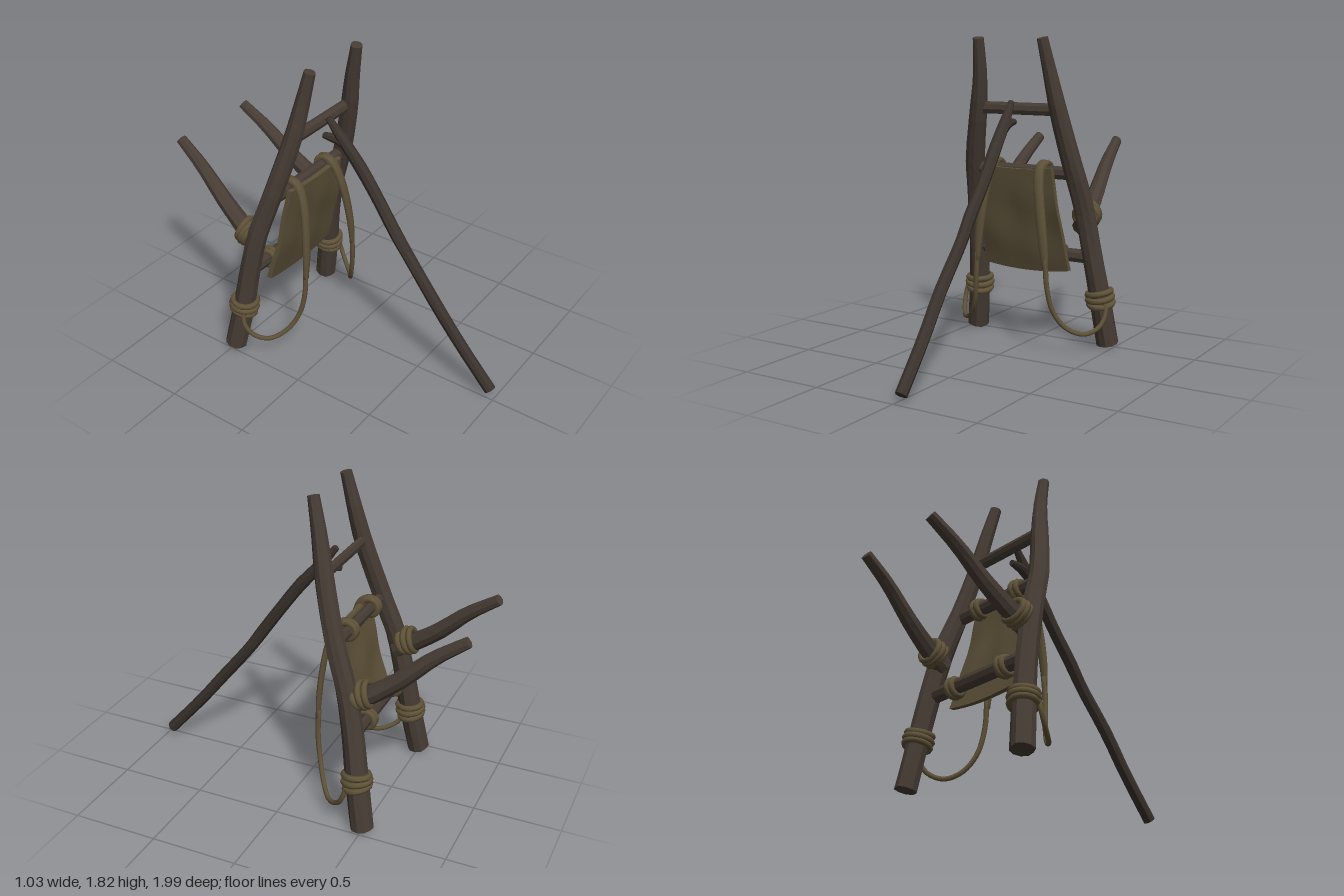
import * as THREE from 'three';

const mat = (color, flat) => {
  const m = new THREE.MeshStandardMaterial({ flatShading: flat });
  m.color.set(color);
  return m;
};
const V = (p) => new THREE.Vector3(...p);

// Capped limb swept along a curve; radii are spread evenly over the points.
// widths: radius along the starting x axis; flat: thickness as a share of width.
function sweep(points, radii, { sides = 9, steps = 14, flat = 1, rough = 0 } = {}) {
  const curve = new THREE.CatmullRomCurve3(points.map(V));
  const pos = [], idx = [];
  const n = new THREE.Vector3(1, 0.01, 0.02), b = new THREE.Vector3();
  const put = (v) => pos.push(v.x, v.y, v.z);
  for (let i = 0; i <= steps; i++) {
    const u = i / steps, c = curve.getPoint(u), t = curve.getTangent(u);
    n.addScaledVector(t, -n.dot(t)).normalize();
    b.crossVectors(t, n);
    const f = u * (radii.length - 1), k = Math.min(Math.floor(f), radii.length - 2);
    const r = THREE.MathUtils.lerp(radii[k], radii[k + 1], f - k);
    for (let j = 0; j < sides; j++) {
      const a = (j / sides) * Math.PI * 2;
      const w = r * (1 + rough * Math.sin(j * 2.4 + i * 0.5));
      put(c.clone().addScaledVector(n, Math.cos(a) * w).addScaledVector(b, Math.sin(a) * w * flat));
    }
  }
  for (let i = 0; i < steps; i++) {
    for (let j = 0; j < sides; j++) {
      const p = i * sides + j, q = i * sides + ((j + 1) % sides);
      idx.push(p, q, p + sides, q, q + sides, p + sides);
    }
  }
  // End caps
  const start = pos.length / 3;
  put(curve.getPoint(0));
  put(curve.getPoint(1));
  const last = steps * sides;
  for (let j = 0; j < sides; j++) {
    const k = (j + 1) % sides;
    idx.push(start, k, j, start + 1, last + j, last + k);
  }
  const g = new THREE.BufferGeometry();
  g.setAttribute('position', new THREE.Float32BufferAttribute(pos, 3));
  g.setIndex(idx);
  g.computeVertexNormals();
  return g;
}

export function createModel() {
  const group = new THREE.Group();
  const wood = mat(0x463c34, true), darkWood = mat(0x3a322c, true);
  const rope = mat(0x5f5238, false), cloth = mat(0x5c5038, false);
  const add = (name, geo, material, parent = group) => {
    const m = new THREE.Mesh(geo, material);
    m.name = name;
    parent.add(m);
    return m;
  };

  // Stacked, slightly tilted rope rings round an axis
  const lashing = (name, centre, axis, radius, count, gap, tube = 0.018) => {
    const g = new THREE.Group();
    g.name = name;
    g.position.copy(V(centre));
    g.quaternion.setFromUnitVectors(new THREE.Vector3(0, 0, 1), V(axis).normalize());
    for (let i = 0; i < count; i++) {
      const ring = add('ropeRing', new THREE.TorusGeometry(radius * (1 + 0.05 * (i % 2)), tube, 7, 18), rope, g);
      ring.position.z = (i - (count - 1) / 2) * gap;
      ring.rotation.set(0.09 * Math.sin(i * 2.1 + 1), 0.1 * Math.cos(i * 1.7), 0);
    }
    group.add(g);
  };

  // Leaning side poles, each a little different
  const poleRadii = [0.063, 0.063, 0.061, 0.06, 0.058, 0.055, 0.05, 0.042, 0.033];
  const poleY = [0.015, 0.3, 0.55, 0.8, 0.95, 1.1, 1.4, 1.6, 1.81];
  const poleZ = [-0.5, -0.452, -0.412, -0.36, -0.312, -0.263, -0.187, -0.148, -0.1];
  const poleX = {
    left: [0.452, 0.422, 0.39, 0.365, 0.35, 0.328, 0.28, 0.25, 0.222],
    right: [-0.457, -0.415, -0.393, -0.372, -0.348, -0.325, -0.252, -0.215, -0.197],
  };
  const hornTip = { left: 0.264, right: -0.285 };
  const hornRoot = { left: 0.335, right: -0.355 };
  const strapTop = { left: 0.148, right: -0.175 };

  for (const side of ['left', 'right']) {
    const s = side === 'left' ? 1 : -1;
    const px = poleX[side];
    add(side + 'Pole', sweep(px.map((x, i) => [x, poleY[i], poleZ[i]]), poleRadii,
      { sides: 10, steps: 18, rough: 0.05 }), wood);
    lashing(side + 'PoleLashing', [px[1], 0.3, -0.452], [-0.1 * s, 1, 0.16], 0.07, 3, 0.033);

    // Branch reaching backwards and up, tied to the pole
    const hx = hornRoot[side], tx = hornTip[side];
    const hornX = (t) => THREE.MathUtils.lerp(hx, tx, t);
    add(side + 'Branch', sweep([[hx, 0.72, -0.37], [hornX(0.15), 0.79, -0.48], [hornX(0.45), 0.91, -0.64],
      [hornX(0.75), 1.065, -0.81], [tx, 1.18, -0.975]], [0.056, 0.054, 0.048, 0.039, 0.031],
      { sides: 9, steps: 10, rough: 0.05 }), wood);
    lashing(side + 'BranchLashing', [hx, 0.785, -0.44], [-0.05 * s, 0.35, -0.9], 0.066, 3, 0.03);

    // Flat shoulder strap in front of the panel
    const top = strapTop[side], low = s * 0.23;
    const strapX = (t) => THREE.MathUtils.lerp(top, low, t);
    add(side + 'ShoulderStrap', sweep([[top, 1.03, -0.315], [top, 1.1, -0.275], [top, 1.08, -0.215],
      [strapX(0.2), 0.97, -0.168], [strapX(0.55), 0.8, -0.142], [strapX(0.85), 0.63, -0.132],
      [low, 0.51, -0.132]], [0.03, 0.031, 0.031, 0.032, 0.031, 0.028, 0.02],
      { sides: 8, steps: 20, flat: 0.55 }), cloth);
    // Cord from the strap to the foot of the pole
    add(side + 'StrapCord', sweep([[low, 0.56, -0.135], [s * 0.24, 0.4, -0.137], [s * 0.268, 0.25, -0.165],
      [s * 0.33, 0.152, -0.215], [s * 0.41, 0.116, -0.28], [s * 0.467, 0.15, -0.355],
      [s * 0.485, 0.225, -0.4], [s * 0.47, 0.3, -0.41]], [0.016, 0.014, 0.014, 0.014],
      { sides: 7, steps: 28 }), rope);

    // Loops holding the panel to the rungs
    lashing(side + 'UpperLoop', [top, 1.05, -0.27], [1, 0, 0], 0.046, 2, 0.03);
    lashing(side + 'LowerLoop', [s * 0.2 - 0.02, 0.545, -0.405], [1, 0, 0], 0.046, 2, 0.03);
  }

  // Rungs between the poles
  const rung = (name, y, z, half, r, flat) => {
    const g = new THREE.CylinderGeometry(r, r, half * 2, 8, 1);
    g.rotateY(Math.PI / 8).rotateZ(Math.PI / 2).scale(1, 1, flat);
    const m = add(name, g, wood);
    m.position.set(0.01, y, z);
    m.rotation.x = -0.2;
  };
  rung('upperRung', 1.41, -0.19, 0.25, 0.037, 0.7);
  rung('middleRung', 1.045, -0.275, 0.32, 0.04, 0.75);
  rung('lowerRung', 0.545, -0.41, 0.38, 0.042, 0.75);

  // Padded back panel: widens downwards, sagging hem, shallow wrinkles
  const panel = new THREE.BoxGeometry(1, 1, 0.03, 12, 12, 1);
  const p = panel.attributes.position;
  for (let i = 0; i < p.count; i++) {
    const u = p.getX(i) * 2, v = p.getY(i) + 0.5;
    const x = u * THREE.MathUtils.lerp(0.285, 0.235, v) - 0.013;
    const y = THREE.MathUtils.lerp(0.44 + 0.022 * u * u, 1.075 - 0.015 * (1 - u * u), v);
    const ripple = 0.006 * Math.sin(v * 9 + u * 2) + 0.004 * Math.sin(u * 7);
    const z = THREE.MathUtils.lerp(-0.352, -0.22, v) + 0.012 * Math.sin(v * Math.PI);
    p.setXYZ(i, x, y, z + ripple * Math.sin(v * Math.PI) + p.getZ(i));
  }
  panel.computeVertexNormals();
  add('backPanel', panel, cloth);

  // Forked prop stick leaning against the upper rung
  add('propStick', sweep([[0.027, 0.045, 0.968], [0.02, 0.29, 0.755], [0.012, 0.5, 0.59], [0.018, 0.73, 0.405],
    [0.015, 0.85, 0.32], [0.024, 1.04, 0.185], [0.022, 1.2, 0.07], [0.015, 1.33, -0.04], [0.004, 1.45, -0.135]],
  [0.034, 0.034, 0.035, 0.034, 0.036, 0.035, 0.036, 0.033, 0.018], { sides: 8, steps: 20, rough: 0.05 }), darkWood);
  add('propFork', sweep([[0.02, 1.29, 0.0], [0.016, 1.325, -0.06], [0.008, 1.333, -0.115], [0.004, 1.335, -0.165]],
    [0.03, 0.03, 0.025, 0.018], { sides: 8, steps: 5 }), darkWood);

  return group;
}
